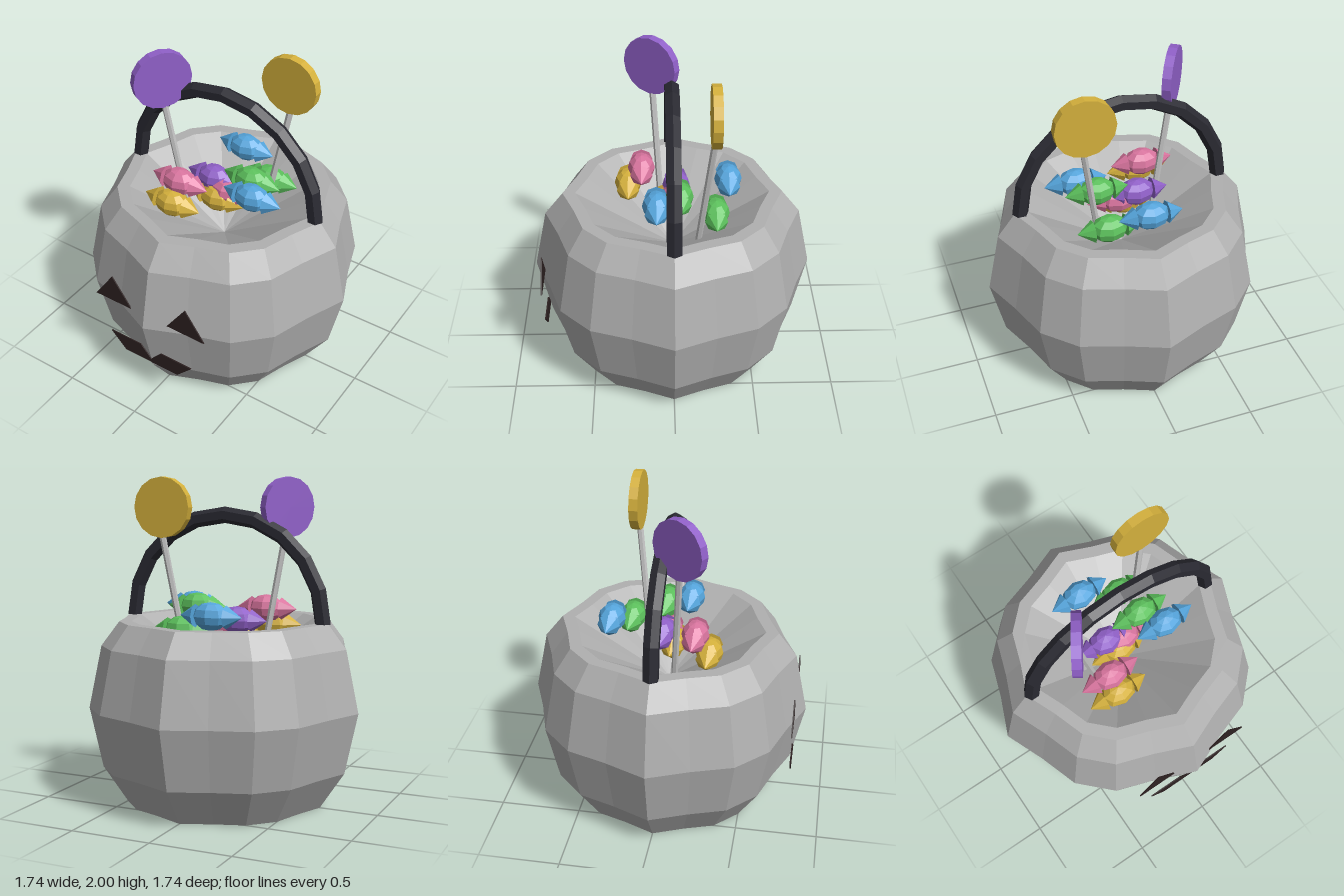
import * as THREE from 'three';

const mat = (name, color) => {
  const m = new THREE.MeshStandardMaterial({ color });
  m.name = name;
  return m;
};

// Gives every face its own normal for the low-poly look
function facet(geometry) {
  const g = geometry.index ? geometry.toNonIndexed() : geometry;
  g.computeVertexNormals();
  return g;
}

export function createModel() {
  const model = new THREE.Group();
  model.name = 'candyBucket';

  const grey = mat('bucket grey', 0xb0b0b0);
  const black = mat('handle black', 0x2a2a32);
  const dark = mat('face dark brown', 0x2e2222);
  const stickGrey = mat('stick light grey', 0xc4c4c4);
  const yellow = mat('yellow', 0xd4b03c);
  const purple = mat('purple', 0x9060c8);
  const blue = mat('blue', 0x55a5dc);
  const green = mat('green', 0x5cc05c);
  const pink = mat('pink', 0xd8749e);

  const add = (name, geometry, material, parent = model) => {
    const mesh = new THREE.Mesh(facet(geometry), material);
    mesh.name = name;
    parent.add(mesh);
    return mesh;
  };

  // Bucket: lathed shell with a flat rim and sloping inside, rippled into eight lobes
  const profile = [
    [0, 0], [0.61, 0], [0.757, 0.23], [0.835, 0.605], [0.757, 0.985],
    [0.648, 1.13], [0.573, 1.13], [0, 0.75],
  ].map(([r, y]) => new THREE.Vector2(r, y));
  const shell = new THREE.LatheGeometry(profile, 20);
  const pos = shell.attributes.position;
  for (let i = 0; i < pos.count; i++) {
    const x = pos.getX(i), z = pos.getZ(i);
    const k = 1 + 0.042 * Math.cos(8 * Math.atan2(x, z));
    pos.setXYZ(i, x * k, pos.getY(i), z * k);
  }
  add('bucket', shell, grey);

  // Handle: half ring with a six-sided section
  add('handle', new THREE.TorusGeometry(0.64, 0.05, 6, 10, Math.PI).translate(0, 1.13, 0), black);

  // Face: thin plates in front of the shell
  const plate = (name, points) => {
    const shape = new THREE.Shape(points.map(([x, y]) => new THREE.Vector2(x, y)));
    const g = new THREE.ExtrudeGeometry(shape, { depth: 0.008, bevelEnabled: false });
    add(name, g.translate(0, 0, 0.8), dark);
  };
  for (const [name, s] of [['leftEye', 1], ['rightEye', -1]]) {
    plate(name, [[0.132 * s, 0.645], [0.396 * s, 0.645], [0.264 * s, 0.835]]);
  }
  plate('mouth', [
    [-0.3, 0.38], [-0.195, 0.27], [0.195, 0.27], [0.3, 0.38],
    [0.075, 0.38], [0, 0.295], [-0.075, 0.38],
  ]);

  // Lollipops: a round disc on a leaning stick
  const lollipop = (name, material, center, turn, top, foot) => {
    const group = new THREE.Group();
    group.name = name;
    model.add(group);
    const disc = new THREE.CylinderGeometry(0.183, 0.183, 0.055, 16).rotateX(Math.PI / 2);
    const head = add('lollipopHead', disc, material, group);
    head.position.set(...center);
    head.rotation.y = turn;
    const a = new THREE.Vector3(...foot), b = new THREE.Vector3(...top);
    const dir = b.clone().sub(a);
    const stick = add('lollipopStick',
      new THREE.CylinderGeometry(0.02, 0.02, dir.length(), 6), stickGrey, group);
    stick.position.copy(a).add(b).multiplyScalar(0.5);
    stick.quaternion.setFromUnitVectors(new THREE.Vector3(0, 1, 0), dir.normalize());
  };
  lollipop('yellowLollipop', yellow, [0.3, 1.817, -0.242], 0, [0.313, 1.68, -0.24], [0.185, 0.85, -0.15]);
  lollipop('purpleLollipop', purple, [-0.362, 1.817, 0.12], 1, [-0.355, 1.68, 0.117], [-0.22, 0.85, 0.065]);

  // Wrapped sweets: stretched ball with a pointed wrapper end on each side
  const candy = (name, material, x, y, z) => {
    const group = new THREE.Group();
    group.name = name;
    group.position.set(x, y, z);
    model.add(group);
    add('candyBody', new THREE.SphereGeometry(0.085, 8, 6).scale(1.35, 1, 1), material, group);
    for (const s of [1, -1]) {
      const end = new THREE.ConeGeometry(0.07, 0.1, 8).rotateZ(-s * Math.PI / 2);
      add('wrapperEnd', end.translate(s * 0.15, 0, 0), material, group);
    }
  };
  candy('blueCandy', blue, 0.26, 1.2, 0.1);
  candy('blueCandyBack', blue, -0.065, 1.185, -0.345);
  candy('pinkCandy', pink, -0.2, 1.188, 0.19);
  candy('pinkCandyLow', pink, 0.02, 1.085, 0);
  candy('greenCandy', green, 0.17, 1.205, -0.04);
  candy('greenCandyBack', green, 0.165, 1.085, -0.26);
  candy('yellowCandy', yellow, -0.2, 1.08, 0.275);
  candy('yellowCandyLow', yellow, -0.03, 1.04, 0.035);
  candy('purpleCandy', purple, -0.09, 1.13, -0.025);

  return model;
}
